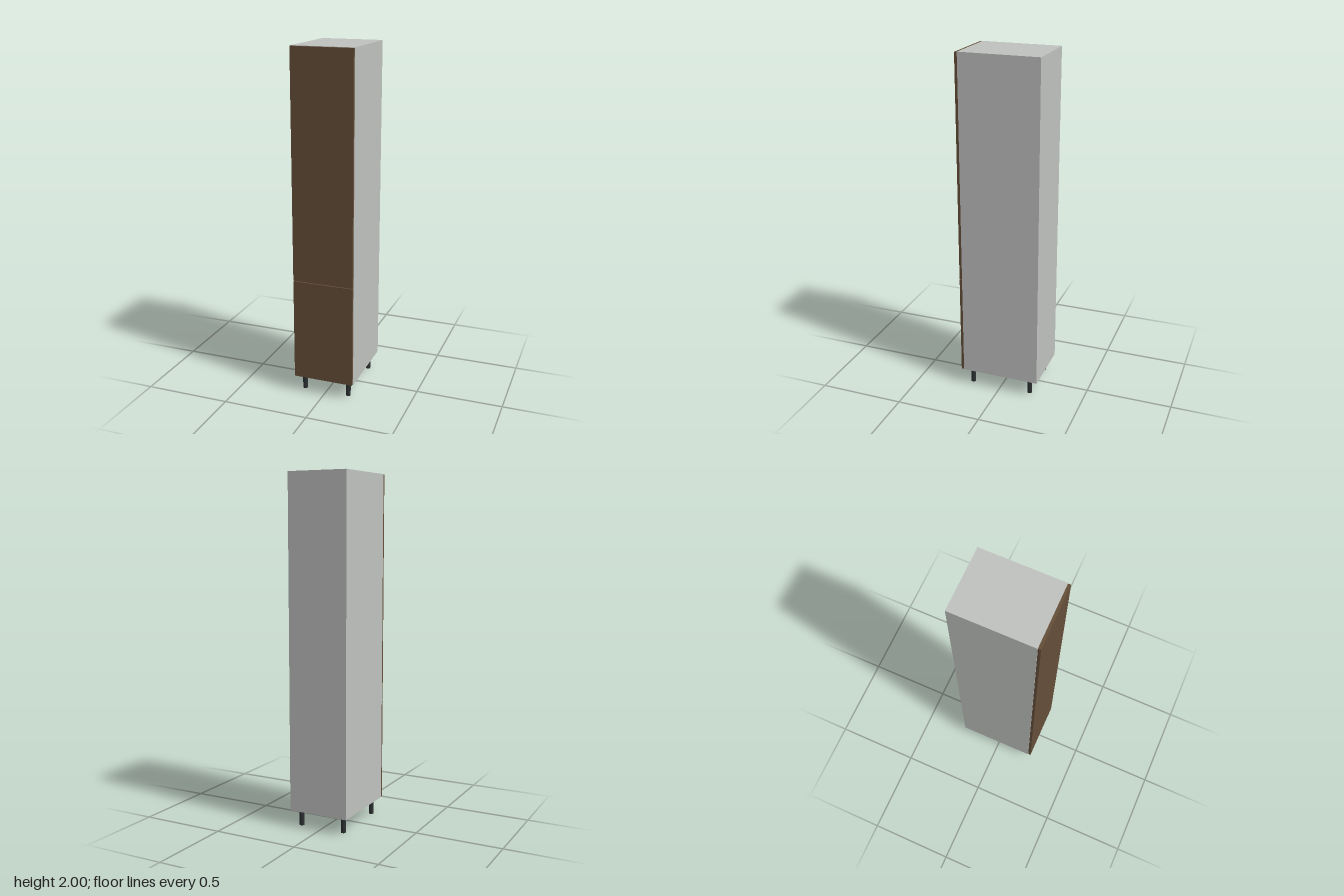
import * as THREE from 'three';

export function createModel() {
  const model = new THREE.Group();
  model.name = 'tallCabinet';

  const material = (name, color) => {
    const m = new THREE.MeshStandardMaterial({ color });
    m.name = name;
    return m;
  };
  const grey = material('greyBoard', 0xc0c2c0);
  const brown = material('brownWood', 0x654e39);
  const dark = material('darkPlastic', 0x2b3031);

  // Box given by its limits on each axis
  function panel(name, mat, [x0, x1], [y0, y1], [z0, z1]) {
    const mesh = new THREE.Mesh(new THREE.BoxGeometry(x1 - x0, y1 - y0, z1 - z0), mat);
    mesh.name = name;
    mesh.position.set((x0 + x1) / 2, (y0 + y1) / 2, (z0 + z1) / 2);
    model.add(mesh);
  }

  const W = 0.179, T = 0.015, BOTTOM = 0.095, TOP = 2;
  const BACK = -0.238, FRONT = 0.222, DOOR = 0.238, SPLIT = 0.692;
  const inner = [-W + T, W - T];
  const depth = [BACK + 0.004, FRONT];

  // Carcass
  panel('rightSide', grey, [-W, -W + T], [BOTTOM, TOP], depth);
  panel('leftSide', grey, [W - T, W], [BOTTOM, TOP], depth);
  panel('topPanel', grey, inner, [TOP - T, TOP], depth);
  panel('bottomPanel', grey, inner, [BOTTOM, BOTTOM + T], depth);
  panel('middleShelf', grey, inner, [SPLIT - T / 2, SPLIT + T / 2], depth);
  panel('backPanel', grey, [-W, W], [BOTTOM, TOP], [BACK, BACK + 0.004]);

  // Doors with a narrow gap between them
  const doorWidth = [-W + 0.002, W - 0.002];
  panel('lowerDoor', brown, doorWidth, [BOTTOM + 0.002, SPLIT - 0.002], [FRONT + 0.0005, DOOR]);
  panel('upperDoor', brown, doorWidth, [SPLIT + 0.002, TOP - 0.002], [FRONT + 0.0005, DOOR]);

  // Round legs
  const legGeometry = new THREE.CylinderGeometry(0.014, 0.014, BOTTOM, 24);
  for (const x of [-0.135, 0.135]) {
    for (const z of [-0.183, 0.179]) {
      const leg = new THREE.Mesh(legGeometry, dark);
      leg.name = (z > 0 ? 'front' : 'back') + (x > 0 ? 'Left' : 'Right') + 'Leg';
      leg.position.set(x, BOTTOM / 2, z);
      model.add(leg);
    }
  }
  return model;
}
